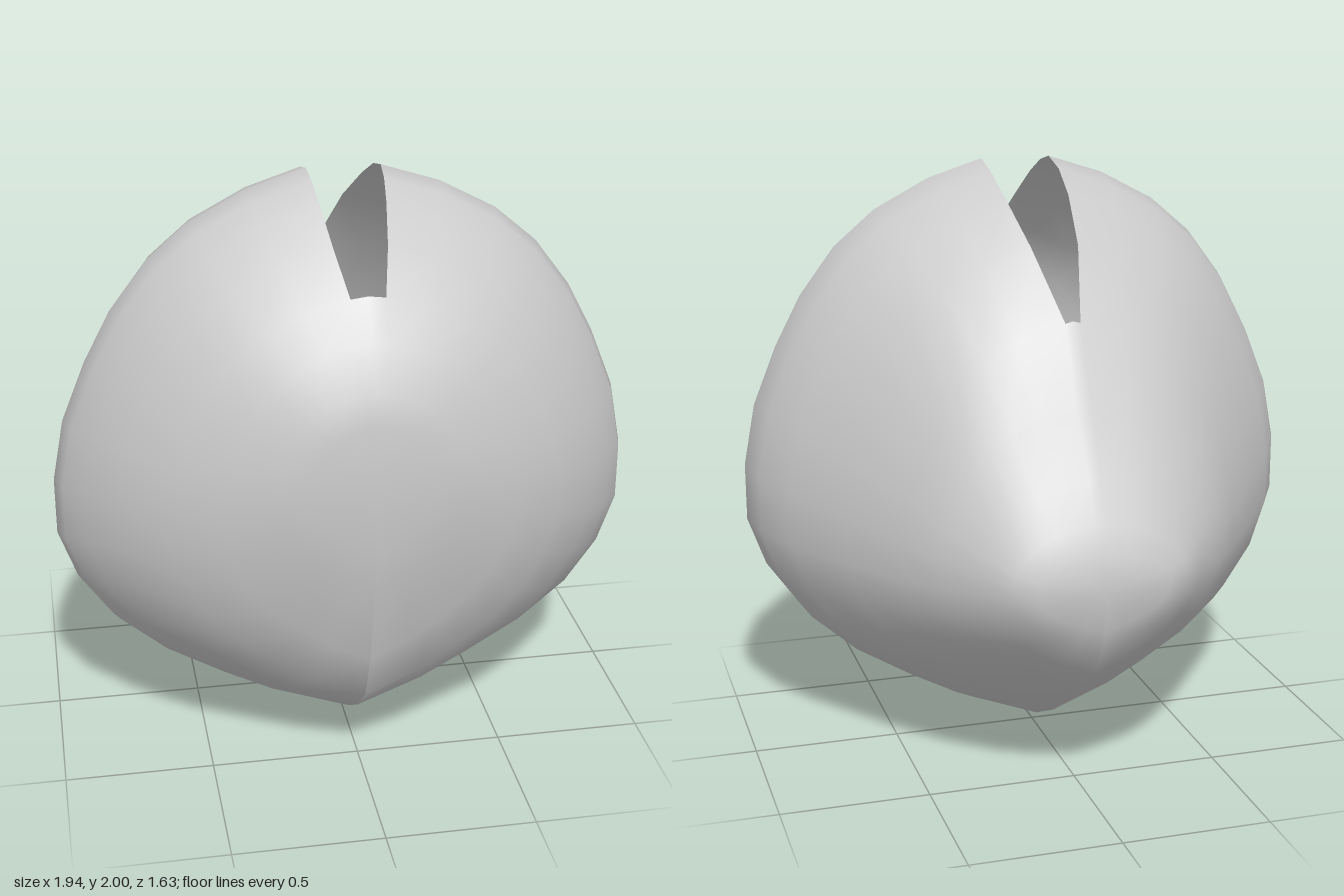
import * as THREE from 'three';

// Rings from front to back: z, half width, top y, widest y, bottom y, half width of the slot
const RINGS = [
  [0.80, 0.20, 1.36, 1.15, 0.92, 0.02],
  [0.78, 0.30, 1.45, 1.12, 0.79, 0.03],
  [0.72, 0.47, 1.59, 1.06, 0.50, 0.045],
  [0.63, 0.63, 1.71, 1.00, 0.31, 0.055],
  [0.50, 0.78, 1.83, 0.95, 0.19, 0.085],
  [0.37, 0.88, 1.93, 0.91, 0.105, 0.105],
  [0.28, 0.945, 1.98, 0.89, 0.05, 0.115],
  [0.20, 0.97, 2.00, 0.88, 0.02, 0.12],
  [0.08, 0.94, 1.97, 0.87, 0.00, 0.12],
  [-0.06, 0.86, 1.90, 0.85, 0.045, 0.11],
  [-0.26, 0.71, 1.765, 0.82, 0.14, 0.08],
  [-0.46, 0.565, 1.55, 0.80, 0.265, 0.025],
  [-0.58, 0.47, 1.30, 0.79, 0.355, 0.025],
  [-0.70, 0.36, 1.09, 0.79, 0.45, 0.02],
  [-0.765, 0.29, 0.97, 0.78, 0.55, 0.02],
  [-0.80, 0.22, 0.88, 0.78, 0.63, 0.015],
];
const SLOT_FROM = 3, SLOT_TO = 11; // rings between which the slot is open

// Half of the cross-section from the pointed bottom to the round top
const HALF = [
  [0, -1], [0.278, -0.886], [0.454, -0.784], [0.66, -0.648], [0.825, -0.489],
  [0.938, -0.307], [1, -0.11], [1, 0.09], [0.959, 0.277], [0.876, 0.455],
  [0.784, 0.607], [0.66, 0.75], [0.515, 0.857], [0.32, 0.946],
];

function ringPoints([z, w, top, mid, bottom, slot]) {
  const side = HALF.map(([u, v]) => [u * w, mid + v * (v > 0 ? top - mid : mid - bottom), z]);
  side.push([slot, top, z]);
  const mirrored = side.map(([x, y]) => [-x, y, z]).reverse();
  return [...side, [0, top + 0.01 * (top - mid), z], ...mirrored];
}

function shellGeometry() {
  const rings = RINGS.map(ringPoints);
  const n = rings[0].length, centre = HALF.length + 1;
  const index = [];
  for (let r = 0; r < rings.length - 1; r++) {
    for (let i = 0; i < n - 1; i++) {
      const inSlot = r >= SLOT_FROM && r < SLOT_TO && (i === centre - 1 || i === centre);
      if (inSlot) continue;
      const a = r * n + i, b = a + 1, c = a + n, d = c + 1;
      index.push(a, c, b, b, c, d);
    }
  }
  // Front and back tips; the bottom seam stays split so the keel is sharp
  const front = rings.length * n, back = front + 1, last = (rings.length - 1) * n;
  for (let i = 0; i < n - 1; i++) {
    index.push(front, i, i + 1, back, last + i + 1, last + i);
  }
  const points = [...rings.flat(), [0, 1.15, 0.815], [0, 0.77, -0.82]];
  const geometry = new THREE.BufferGeometry();
  geometry.setAttribute('position', new THREE.Float32BufferAttribute(points.flat(), 3));
  geometry.setIndex(index);
  geometry.computeVertexNormals();
  return geometry;
}

export function createModel() {
  const group = new THREE.Group();
  group.name = 'slottedShell';
  // Thin hollow shell with an open slot along the top
  const material = new THREE.MeshStandardMaterial({ color: 0xcccccc, side: THREE.DoubleSide });
  const shell = new THREE.Mesh(shellGeometry(), material);
  shell.name = 'shell';
  group.add(shell);
  return group;
}
